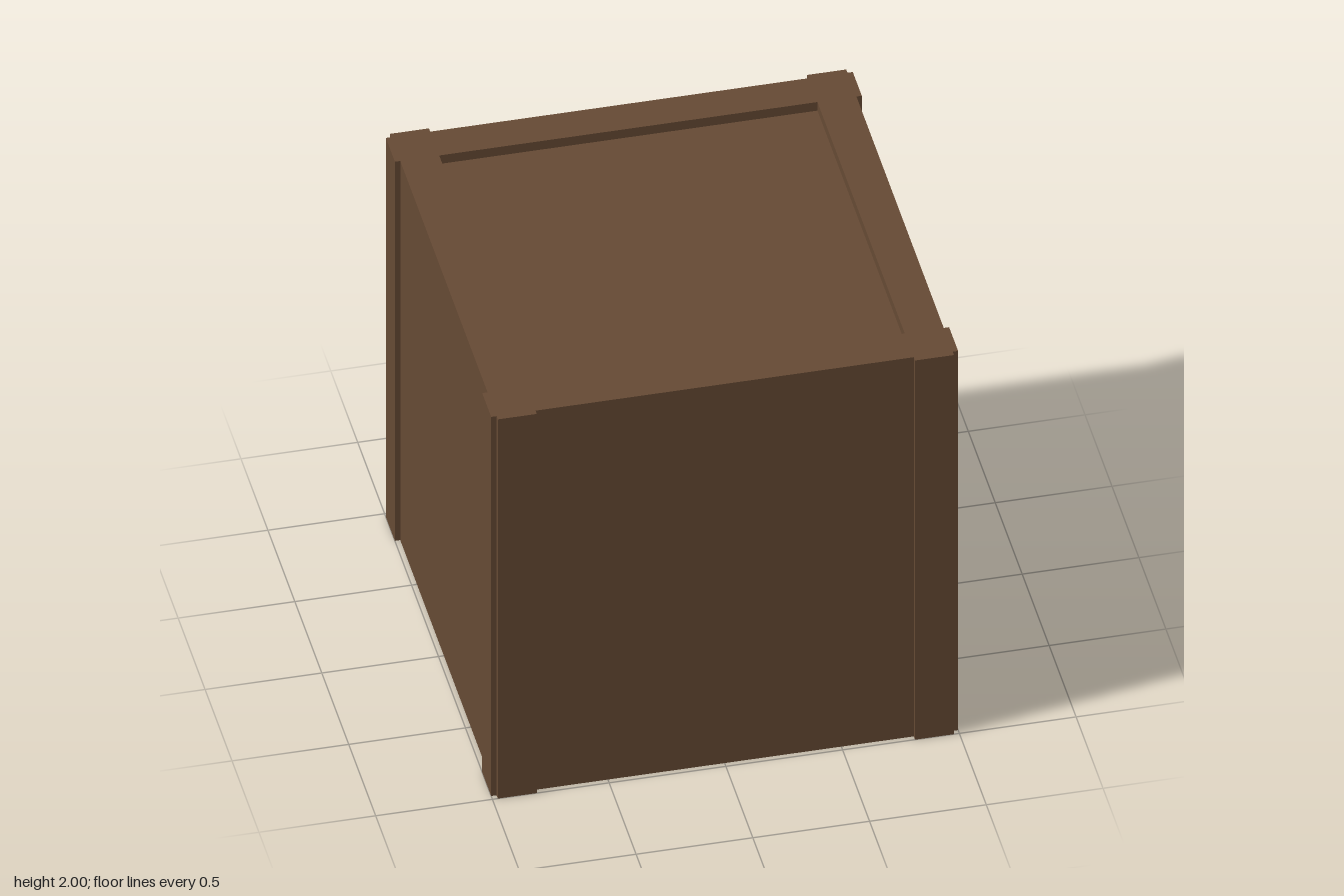
import * as THREE from 'three';

const SIZE = 2;        // overall height
const OUTER = 1;       // outer face of the corner trim
const WALL = 0.977;    // face of the side walls
const INNER = 0.81;    // inner edge of the rim and of the corner trim
const RECESS = 0.045;  // depth of the sunken top and bottom panels

export function createModel() {
  const group = new THREE.Group();
  group.name = 'crate';

  const wood = new THREE.MeshStandardMaterial({ color: 0x664a34 });
  wood.name = 'brown wood';

  // Frame outline: one corner with its two trim strips, turned four times
  const corner = [
    [WALL, INNER], [OUTER, INNER], [OUTER, WALL], [WALL, WALL],
    [WALL, OUTER], [INNER, OUTER], [INNER, WALL],
  ];
  const outline = [];
  for (let i = 0; i < 4; i++) {
    for (const [x, y] of corner) {
      const p = [[x, y], [-y, x], [-x, -y], [y, -x]][i];
      outline.push(new THREE.Vector2(p[0], p[1]));
    }
  }
  const shape = new THREE.Shape(outline);
  shape.holes.push(new THREE.Path([
    new THREE.Vector2(-INNER, -INNER), new THREE.Vector2(-INNER, INNER),
    new THREE.Vector2(INNER, INNER), new THREE.Vector2(INNER, -INNER),
  ]));

  // Walls, corner trim and rims
  const frameGeometry = new THREE.ExtrudeGeometry(shape, { depth: SIZE, bevelEnabled: false });
  frameGeometry.rotateX(-Math.PI / 2);
  const frame = new THREE.Mesh(frameGeometry, wood);
  frame.name = 'frame';
  group.add(frame);

  // Sunken panels closing the top and bottom
  const thickness = 0.05;
  for (const [name, y] of [
    ['topPanel', SIZE - RECESS - thickness / 2],
    ['bottomPanel', RECESS + thickness / 2],
  ]) {
    const panel = new THREE.Mesh(new THREE.BoxGeometry(INNER * 2, thickness, INNER * 2), wood);
    panel.name = name;
    panel.position.y = y;
    group.add(panel);
  }

  return group;
}
